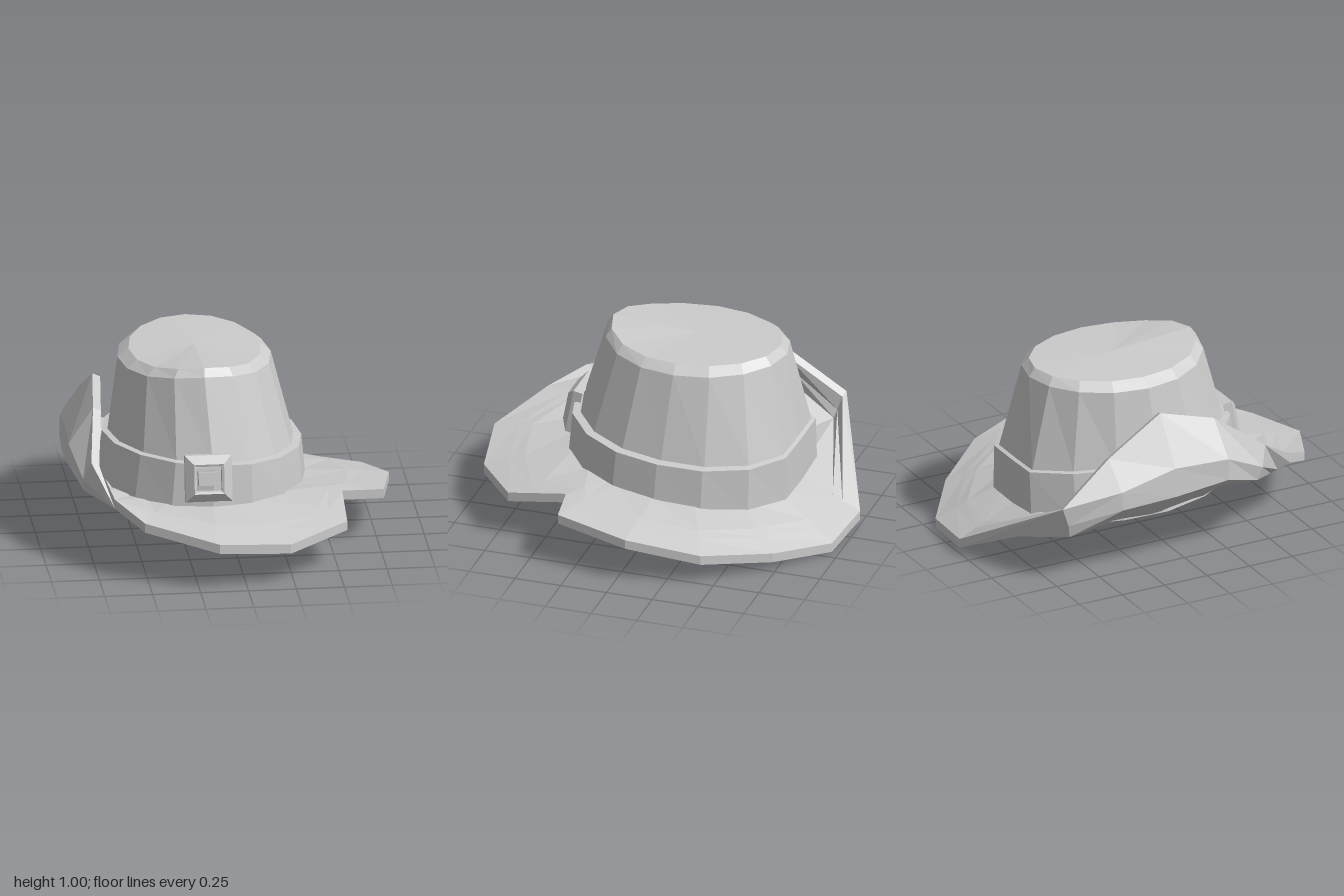
import * as THREE from 'three';

const SIDES = 16;
const material = new THREE.MeshStandardMaterial({ color: 0xcccccc, flatShading: true });

// Skin a list of closed rings (arrays of Vector3) with quads; an optional last point closes the end.
function loft(name, rings, tip) {
  const pos = [];
  const tri = (...pts) => pts.forEach((p) => pos.push(p.x, p.y, p.z));
  for (let r = 0; r < rings.length - 1; r++) {
    const a = rings[r], b = rings[r + 1];
    for (let i = 0; i < a.length; i++) {
      const j = (i + 1) % a.length;
      tri(a[i], a[j], b[i]);
      tri(a[j], b[j], b[i]);
    }
  }
  if (tip) {
    const last = rings[rings.length - 1];
    last.forEach((p, i) => tri(p, last[(i + 1) % last.length], tip));
  }
  const geometry = new THREE.BufferGeometry();
  geometry.setAttribute('position', new THREE.Float32BufferAttribute(pos, 3));
  geometry.computeVertexNormals();
  const mesh = new THREE.Mesh(geometry, material);
  mesh.name = name;
  return mesh;
}

// Fuller corners at the back of the head, as radius factors for the first sides of an oval
const FULL_BACK = [1, 1.035, 1.065, 1.06, 1, 1.095, 1.04];

// Oval ring; height is a rule of x, z and the front-to-back position d in -1..1.
function oval(cx, cz, rx, rz, height, fullness = []) {
  return Array.from({ length: SIDES }, (_, i) => {
    const a = (i / SIDES) * Math.PI * 2, f = fullness[i] ?? 1;
    const x = cx + f * rx * Math.cos(a), d = -Math.sin(a), z = cz + f * rz * d;
    return new THREE.Vector3(x, height(x, z, d), z);
  });
}

const baseY = (x, z) => 0.266 + 0.072 * z;
const bandY = (x, z) => 0.49 + 0.055 * z - 0.06 * x;
// The top rises to a bump at the front
const bump = (d) => 0.045 * Math.max(0, d) ** 4 + 0.01 * Math.min(0, d) ** 2;
const shoulderY = (x, z, d) => 0.913 + bump(d);
const plateY = (x, z, d) => 0.955 + bump(d);

function createBrim() {
  // Rim points round the hat (e), the bend between crown and rim (b),
  // and how far the upturned side bulges outwards (curl)
  const spokes = [
    { e: [0.85, 0.24, -0.05] }, { e: [0.75, 0.16, -0.43] }, { e: [0.49, 0.1, -0.74] },
    { e: [0.19, 0.05, -0.96] }, { e: [-0.15, 0.08, -1.0], b: [-0.15, 0.15, -0.85] },
    { e: [-0.72, 0.42, -0.71], b: [-0.7, 0.3, -0.67], curl: 0.01 },
    { e: [-0.68, 0.63, -0.42], b: [-0.79, 0.43, -0.4], curl: 0.035 },
    { e: [-0.65, 0.81, -0.1], b: [-0.81, 0.45, -0.1], curl: 0.045 },
    { e: [-0.68, 0.73, 0.2], b: [-0.81, 0.48, 0.21], curl: 0.045 },
    { e: [-0.72, 0.53, 0.48], b: [-0.75, 0.41, 0.41], curl: 0.02 },
    { e: [-0.66, 0.41, 0.67], b: [-0.65, 0.37, 0.56] },
    { e: [-0.52, 0.33, 0.83] }, { e: [-0.15, 0.26, 1.0] }, { e: [0.23, 0.22, 0.93] },
    { e: [0.55, 0.25, 0.69] }, { e: [0.56, 0.3, 0.37] }, { e: [0.78, 0.29, 0.34] },
  ];
  const top = { inner: [], bend: [], side: [], edge: [] };
  const under = { inner: [], bend: [], side: [], edge: [] };
  const down = new THREE.Vector3(0, -0.05, 0);
  const bendOut = new THREE.Vector3(-0.04, -0.04, 0);
  const sideOut = new THREE.Vector3(-0.04, -0.01, 0);
  const edgeOut = new THREE.Vector3(-0.04, 0.015, -0.01);
  for (const { e, b, curl = 0 } of spokes) {
    const edge = new THREE.Vector3(...e);
    const a = Math.atan2((edge.z + 0.06) / 0.595, (edge.x + 0.125) / 0.51);
    const inner = new THREE.Vector3(-0.125 + 0.51 * Math.cos(a), 0, -0.06 + 0.595 * Math.sin(a));
    inner.y = baseY(inner.x, inner.z) + 0.01;
    const bend = b
      ? new THREE.Vector3(...b)
      : inner.clone().lerp(edge, 0.55).add(new THREE.Vector3(0, 0.008, 0));
    const side = bend.clone().lerp(edge, 0.35);
    side.x -= curl;
    top.inner.push(inner);
    top.bend.push(bend);
    top.side.push(side);
    top.edge.push(edge);
    under.inner.push(inner.clone().add(down));
    under.bend.push(bend.clone().add(curl ? bendOut : down));
    under.side.push(side.clone().add(curl ? sideOut : down));
    under.edge.push(edge.clone().add(curl ? edgeOut : down));
  }
  return loft('brim', [
    under.inner, under.bend, under.side, under.edge,
    top.edge, top.side, top.bend, top.inner, under.inner,
  ]);
}

function createBuckle() {
  const buckle = new THREE.Group();
  buckle.name = 'buckle';
  // Bevelled square frame: a four-sided lathe turned to face the front
  const profile = [[0.122, -0.03], [0.122, 0.02], [0.078, 0.055], [0.066, 0.05], [0.066, 0]];
  const frameGeometry = new THREE.LatheGeometry(
    profile.map(([half, h]) => new THREE.Vector2(half * Math.SQRT2, h)), 4);
  frameGeometry.rotateY(Math.PI / 4).rotateX(Math.PI / 2);
  const frame = new THREE.Mesh(frameGeometry, material);
  frame.name = 'buckleFrame';
  // Raised centre piece with a bar above it
  const plate = new THREE.Mesh(new THREE.BoxGeometry(0.11, 0.07, 0.05), material);
  plate.name = 'bucklePlate';
  plate.position.z = 0.02;
  const bar = new THREE.Mesh(new THREE.BoxGeometry(0.13, 0.018, 0.04), material);
  bar.name = 'buckleBar';
  bar.position.set(0, 0.052, 0.015);
  buckle.add(frame, plate, bar);
  buckle.position.set(-0.157, 0.46, 0.532);
  buckle.rotation.x = -0.19;
  return buckle;
}

export function createModel() {
  const hat = new THREE.Group();
  hat.name = 'hat';

  // Crown: sloping wall, bevelled shoulder and a top raised at the front
  hat.add(loft('crown', [
    oval(-0.13, -0.08, 0.485, 0.585, bandY, FULL_BACK),
    oval(-0.16, -0.108, 0.4, 0.49, shoulderY),
    oval(-0.157, -0.105, 0.345, 0.457, plateY),
  ], new THREE.Vector3(-0.16, 0.968, -0.1)));

  // Inner lining seen through the head opening
  const liningTop = oval(-0.157, -0.105, 0.32, 0.435, (x, z, d) => plateY(x, z, d) - 0.03);
  hat.add(loft('lining', [
    liningTop,
    oval(-0.16, -0.108, 0.38, 0.47, (x, z, d) => shoulderY(x, z, d) - 0.02),
    oval(-0.13, -0.08, 0.465, 0.565, bandY, FULL_BACK),
    oval(-0.125, -0.06, 0.52, 0.605, (x, z) => baseY(x, z) - 0.03, FULL_BACK),
  ]));
  hat.add(loft('liningTop', [[...liningTop].reverse()], new THREE.Vector3(-0.16, 0.938, -0.1)));

  // Band with a narrow ledge at its upper edge
  hat.add(loft('band', [
    oval(-0.135, -0.06, 0.55, 0.625, (x, z) => baseY(x, z) - 0.01, FULL_BACK),
    oval(-0.125, -0.07, 0.52, 0.615, bandY, FULL_BACK),
    oval(-0.13, -0.08, 0.48, 0.58, (x, z) => bandY(x, z) + 0.005, FULL_BACK),
  ]));

  hat.add(createBrim(), createBuckle());
  return hat;
}
